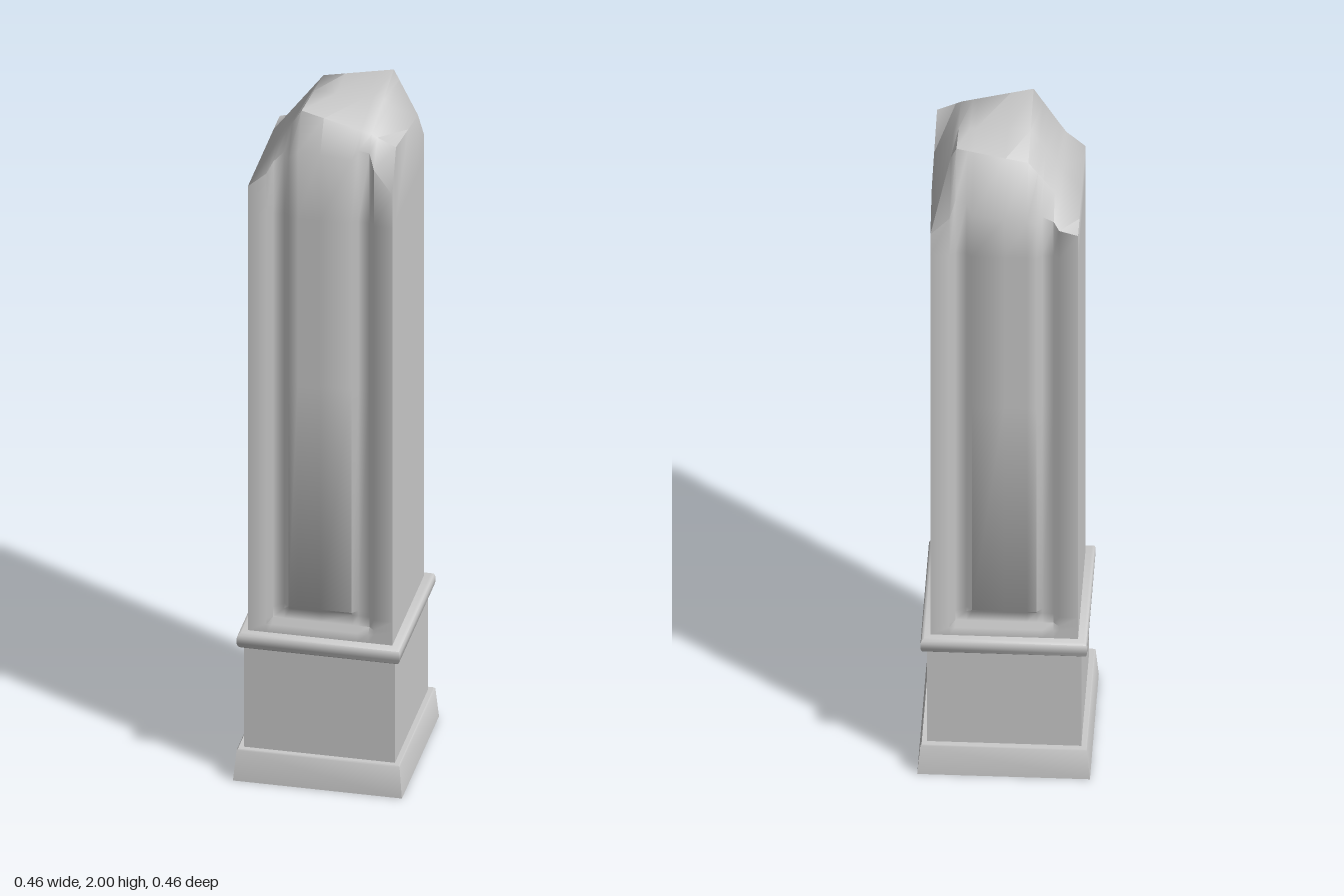
import * as THREE from 'three';
import { mergeGeometries, toCreasedNormals } from 'three/addons/utils/BufferGeometryUtils.js';

const HALF = 0.195;   // half width of the shaft
const FLOOR = 0.18;   // depth of the channel floor
const SHAFT_BASE = 0.44;

// Worn dome: heights on a small control grid, rows along z, columns along x
const domeX = [-HALF, -0.06, 0.13, HALF];
const domeZ = [-HALF, -0.12, 0.15, HALF];
const domeY = [
  [1.78, 1.82, 1.84, 1.77],
  [1.78, 1.96, 2.0, 1.87],
  [1.78, 2.0, 1.95, 1.92],
  [1.78, 1.9, 1.89, 1.8],
];

function locate(list, value) {
  let i = 0;
  while (i < list.length - 2 && value > list[i + 1]) i++;
  return [i, (value - list[i]) / (list[i + 1] - list[i])];
}

function domeHeight(x, z) {
  const [i, u] = locate(domeX, x);
  const [j, v] = locate(domeZ, z);
  const row = (r) => THREE.MathUtils.lerp(domeY[r][i], domeY[r][i + 1], u);
  return THREE.MathUtils.lerp(row(j), row(j + 1), v);
}

// Trapezoid channel running around a raised panel; r is the distance from the panel axis
function faceDepth(r) {
  if (r <= 0.085 || r >= 0.145) return HALF;
  if (r < 0.1) return THREE.MathUtils.mapLinear(r, 0.085, 0.1, HALF, FLOOR);
  if (r > 0.13) return THREE.MathUtils.mapLinear(r, 0.13, 0.145, FLOOR, HALF);
  return FLOOR;
}

// Grid surface through fn(u, v); the front faces along u cross v
function patch(us, vs, fn) {
  const positions = [];
  const index = [];
  for (const v of vs) for (const u of us) positions.push(...fn(u, v));
  const n = us.length;
  for (let j = 0; j < vs.length - 1; j++) {
    for (let i = 0; i < n - 1; i++) {
      const a = j * n + i;
      index.push(a, a + 1, a + n + 1, a, a + n + 1, a + n);
    }
  }
  const geometry = new THREE.BufferGeometry();
  geometry.setAttribute('position', new THREE.Float32BufferAttribute(positions, 3));
  geometry.setIndex(index);
  return geometry;
}

function shaftGeometry() {
  const xs = [-HALF, -0.145, -0.13, -0.1, -0.085, -0.06, 0, 0.085, 0.1, 0.13, 0.145, HALF];
  const ys = [SHAFT_BASE, 0.465, 0.48, 0.51, 0.525, 1.2, 1.7, Infinity];
  const zs = [-HALF, -0.12, 0, 0.15, HALF];
  const sideYs = [SHAFT_BASE, 1.7, Infinity];
  const reversed = (list) => [...list].reverse();

  // Front and back, with the channel
  const panelled = (sign) => (x, y) => {
    const z = sign * faceDepth(Math.max(Math.abs(x), 0.61 - y));
    return [x, Math.min(y, domeHeight(x, z)), z];
  };
  // Plain sides
  const plain = (sign) => (z, y) => [sign * HALF, Math.min(y, domeHeight(sign * HALF, z)), z];
  // Dome, its rim following the open channel ends
  const dome = (x, z) => {
    const rim = Math.abs(z) === HALF ? Math.sign(z) * faceDepth(Math.abs(x)) : z;
    return [x, domeHeight(x, rim), rim];
  };

  return toCreasedNormals(mergeGeometries([
    patch(xs, ys, panelled(1)),
    patch(reversed(xs), ys, panelled(-1)),
    patch(reversed(zs), sideYs, plain(1)),
    patch(zs, sideYs, plain(-1)),
    patch(xs, reversed(zs), dome),
  ]), 1);
}

// Square moulding from a [half width, height] profile, bottom to top
function squareTurned(profile) {
  const points = profile.map(([r, y]) => new THREE.Vector2(r * Math.SQRT2, y));
  const geometry = new THREE.LatheGeometry(points, 4, Math.PI / 4);
  return toCreasedNormals(geometry, 0.9);
}

export function createModel() {
  const group = new THREE.Group();
  const material = new THREE.MeshStandardMaterial({ color: 0xcccccc });
  const add = (name, geometry) => {
    const mesh = new THREE.Mesh(geometry, material);
    mesh.name = name;
    group.add(mesh);
  };

  add('plinth', squareTurned([[0, 0], [0.228, 0], [0.22, 0.088], [0.217, 0.092], [0, 0.092]]));
  add('pedestalBlock', squareTurned([[0.204, 0.09], [0.204, 0.4]]));
  add('collar', squareTurned([
    [0, 0.394], [0.21, 0.394], [0.217, 0.4], [0.22, 0.41],
    [0.22, 0.426], [0.217, 0.435], [0.21, 0.44], [0, 0.44],
  ]));
  add('shaft', shaftGeometry());
  return group;
}
